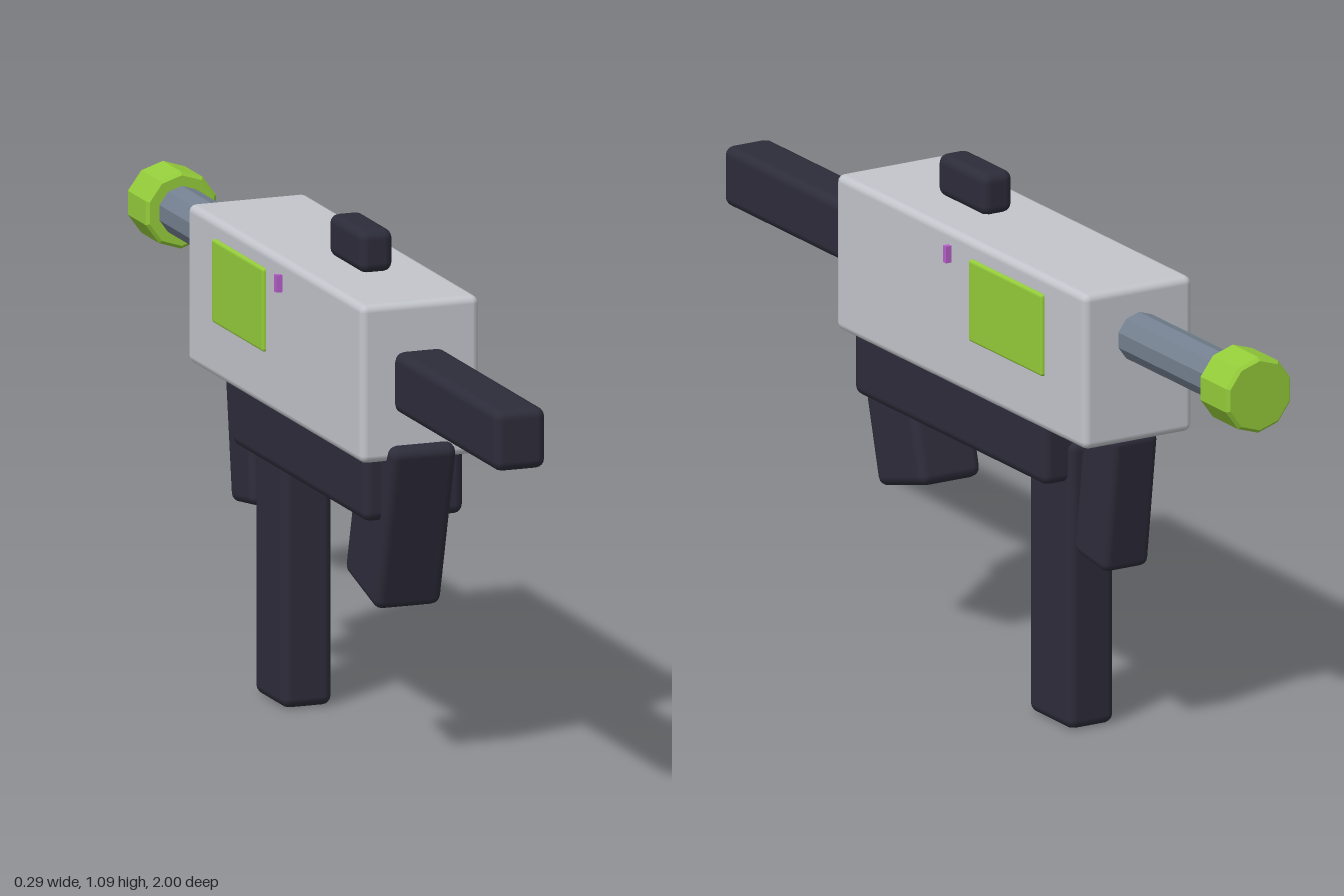
import * as THREE from 'three';
import { RoundedBoxGeometry } from 'three/addons/geometries/RoundedBoxGeometry.js';

const material = (name, color, flatShading = false) => {
  const m = new THREE.MeshStandardMaterial({ color, flatShading });
  m.name = name;
  return m;
};

export function createModel() {
  const group = new THREE.Group();
  const shell = material('light grey shell', 0xc2c5cb);
  const dark = material('dark charcoal', 0x2d2c3a);
  const steel = material('steel blue', 0x748090, true);
  const lime = material('lime', 0x94cc3a, true);
  const purple = material('purple', 0xb860cc);

  const add = (name, geometry, mat, x, y, z, tilt = 0) => {
    const mesh = new THREE.Mesh(geometry, mat);
    mesh.name = name;
    mesh.position.set(x, y, z);
    mesh.rotation.x = tilt;
    group.add(mesh);
    return mesh;
  };
  // Box with softened edges, placed by its centre
  const block = (name, mat, [w, h, d], [x, y, z], radius = 0.02, tilt = 0) =>
    add(name, new RoundedBoxGeometry(w, h, d, 2, radius), mat, x, y, z, tilt);

  // Main housing, rear stock and top sight
  block('body', shell, [0.26, 0.332, 0.97], [0, 0.826, -0.045], 0.016);
  block('stock', dark, [0.112, 0.128, 0.6], [0, 0.825, 0.7]);
  block('sight', dark, [0.074, 0.09, 0.185], [0, 1.041, 0.107]);

  // Underside: rail, magazine and the two slanted grips
  block('lowerRail', dark, [0.22, 0.16, 0.745], [0, 0.608, 0.033]);
  block('magazine', dark, [0.11, 0.615, 0.166], [0, 0.3075, -0.268]);
  block('rearGrip', dark, [0.146, 0.368, 0.186], [0, 0.533, 0.33], 0.02, 0.264);
  block('frontGrip', dark, [0.11, 0.3, 0.126], [0, 0.528, -0.441], 0.018, -0.135);

  // Faceted barrel and bevelled muzzle, pointing to the back
  add('barrel', new THREE.CylinderGeometry(0.052, 0.052, 0.42, 10), steel, 0, 0.885, -0.71, -Math.PI / 2);
  const profile = [[0, -0.056], [0.074, -0.056], [0.081, -0.049], [0.081, 0.049], [0.074, 0.056], [0, 0.056]]
    .map(([r, y]) => new THREE.Vector2(r, y));
  add('muzzle', new THREE.LatheGeometry(profile, 10), lime, 0, 0.885, -0.944, -Math.PI / 2);

  // Side panels and small pins, mirrored
  for (const [side, s] of [['left', 1], ['right', -1]]) {
    block(side + 'Panel', lime, [0.02, 0.175, 0.285], [s * 0.128, 0.866, -0.232], 0.006);
    add(side + 'Pin', new THREE.BoxGeometry(0.03, 0.036, 0.012), purple, s * 0.128, 0.942, -0.006);
  }
  return group;
}
